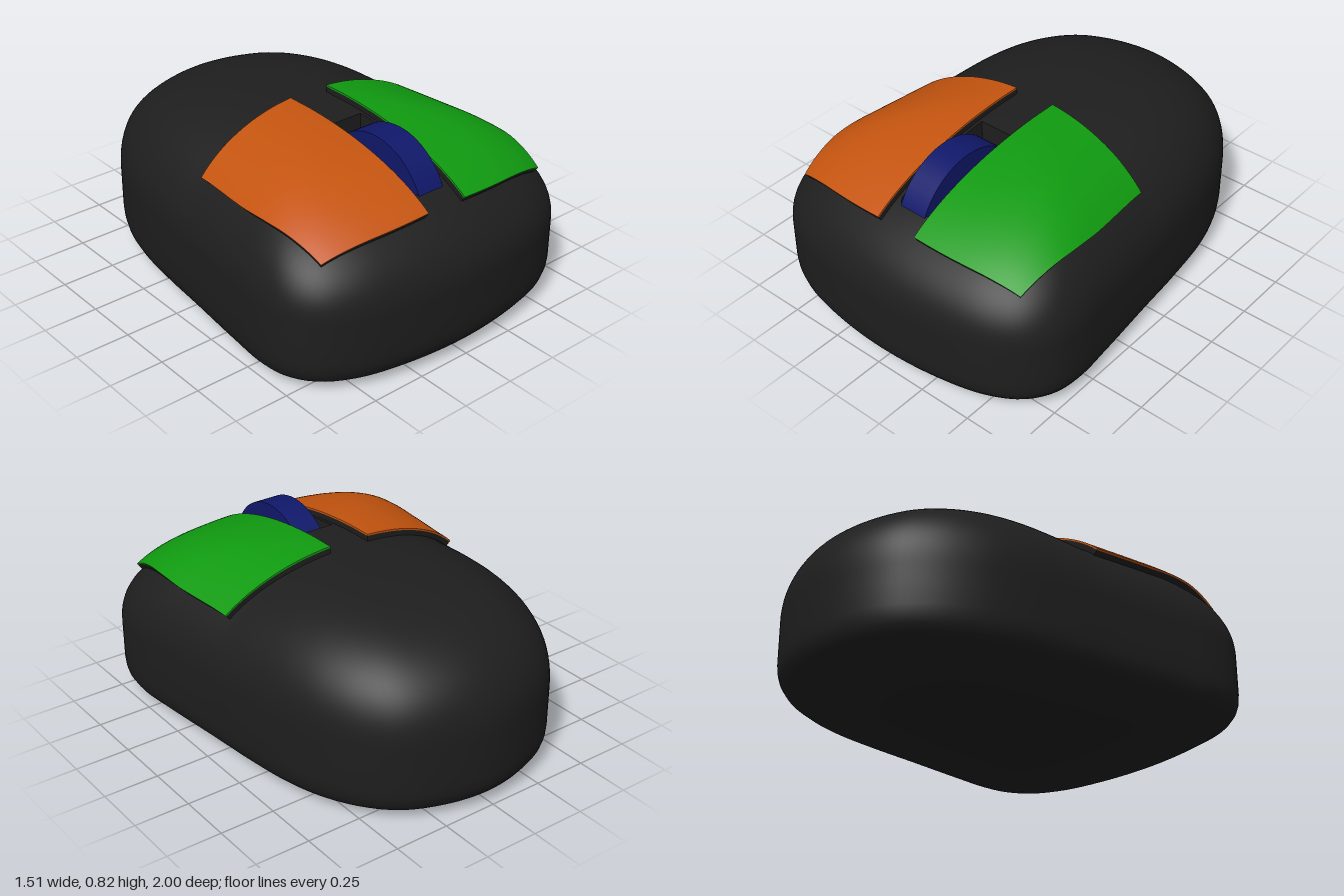
import * as THREE from 'three';
import { toCreasedNormals } from 'three/addons/utils/BufferGeometryUtils.js';

const SEG = 160;
const RIM_Y = 0.33, TOP_Y = 0.79;
const SLOT = { z: 0.485, halfX: 0.085, halfZ: 0.255, floor: 0.64 };

// Plan outline: one half from front to back, mirrored into a closed curve
const half = [[0, 1], [0.3, 0.975], [0.52, 0.92], [0.66, 0.835], [0.735, 0.72], [0.755, 0.58], [0.74, 0.38],
  [0.705, 0.05], [0.68, -0.2], [0.645, -0.43], [0.59, -0.61], [0.5, -0.77], [0.38, -0.89], [0.2, -0.97], [0, -1]];
const mirrored = half.slice(1, -1).reverse().map(([x, z]) => [-x, z]);
const outline = new THREE.CatmullRomCurve3(
  [...half, ...mirrored].map(([x, z]) => new THREE.Vector3(x, 0, z)), true).getSpacedPoints(SEG).slice(0, SEG);

// Distance from the middle to the outline in the direction (x, z)
const polar = outline.slice(0, SEG / 2 + 1).map((p) => [Math.atan2(Math.abs(p.x), p.z), Math.hypot(p.x, p.z)]);
function outlineRadius(x, z) {
  const a = Math.atan2(Math.abs(x), z);
  for (let i = 1; i < polar.length; i++) {
    const [a0, r0] = polar[i - 1], [a1, r1] = polar[i];
    if (a <= a1) return r0 + (r1 - r0) * (a - a0) / (a1 - a0);
  }
  return polar[polar.length - 1][1];
}

// Height of the domed top, fuller toward the back
function topHeight(x, z) {
  const d = Math.hypot(x, z);
  if (d < 1e-6) return TOP_Y;
  const s = Math.min(1, d / outlineRadius(x, z));
  const back = Math.max(0, -z / d);
  return RIM_Y + (TOP_Y - RIM_Y) * Math.pow(1 - Math.pow(s, 2.2 + 0.9 * back), 0.45 - 0.03 * back);
}

function loft(rings) {
  const pos = rings.flat().flatMap((p) => [p.x, p.y, p.z]);
  const index = [];
  for (let i = 0; i < rings.length - 1; i++) {
    for (let j = 0; j < SEG; j++) {
      const k = (j + 1) % SEG;
      const a = i * SEG + j, b = a + SEG, c = i * SEG + k, d = c + SEG;
      index.push(a, b, c, c, b, d);
    }
  }
  const geo = new THREE.BufferGeometry();
  geo.setAttribute('position', new THREE.Float32BufferAttribute(pos, 3));
  geo.setIndex(index);
  return toCreasedNormals(geo, 0.7);
}

// Shell: slot floor and walls, dome, side wall, rounded underside
function bodyGeometry() {
  const slotEdge = outline.map((p) => {
    const dx = p.x, dz = p.z - SLOT.z;
    const k = 1 / Math.max(Math.abs(dx) / SLOT.halfX, Math.abs(dz) / SLOT.halfZ);
    return new THREE.Vector3(dx * k, SLOT.floor, SLOT.z + dz * k);
  });
  const rings = [outline.map(() => new THREE.Vector3(0, SLOT.floor, SLOT.z)), slotEdge];
  const steps = 32;
  for (let i = 0; i <= steps; i++) {
    const f = i / steps, t = 1 - Math.pow(1 - f, 2.2);
    rings.push(outline.map((p, j) => {
      const q = slotEdge[j].clone().lerp(p, t);
      q.y = i === steps ? RIM_Y : topHeight(q.x, q.z);
      return q;
    }));
  }
  const lower = [[1, 0.24], [1, 0.15], [0.996, 0.11], [0.985, 0.075], [0.965, 0.047], [0.93, 0.026],
    [0.87, 0.013], [0.75, 0.005], [0.5, 0.001], [0, 0]];
  for (const [s, y] of lower) rings.push(outline.map((p) => new THREE.Vector3(p.x * s, y, p.z * s)));
  return loft(rings);
}

// Curved plate that follows the dome between two offsets along its normal
function plateGeometry(side, low, high) {
  const geo = new THREE.BoxGeometry(1, 1, 1, 24, 1, 32);
  const pos = geo.attributes.position;
  const e = 0.01;
  for (let i = 0; i < pos.count; i++) {
    const u = 0.5 + side * pos.getX(i), v = pos.getZ(i) + 0.5;
    const outer = 0.59 + 0.03 * Math.sin(Math.PI * Math.pow(v, 1.3));
    const x = 0.1 + (outer - 0.1) * u;
    const z0 = -0.015 + 0.045 * u * u, z1 = 0.83 - 0.06 * u * u;
    const z = z0 + (z1 - z0) * v;
    const n = new THREE.Vector3(
      (topHeight(x - e, z) - topHeight(x + e, z)) / (2 * e), 1,
      (topHeight(x, z - e) - topHeight(x, z + e)) / (2 * e)).normalize();
    n.x *= u; // keeps the inner edge straight
    const off = pos.getY(i) > 0 ? high : low;
    pos.setXYZ(i, side * (x + n.x * off), topHeight(x, z) + n.y * off, z + n.z * off);
  }
  geo.computeVertexNormals();
  return geo;
}

export function createModel() {
  const group = new THREE.Group();
  const add = (name, geo, color) => {
    const mesh = new THREE.Mesh(geo, new THREE.MeshStandardMaterial({ color }));
    mesh.name = name;
    group.add(mesh);
    return mesh;
  };

  add('body', bodyGeometry(), 0x1e1e1e);

  // Buttons: dark pad with a coloured cap
  for (const [name, side, color] of [['left', 1, 0x109a10], ['right', -1, 0xc4540f]]) {
    add(name + 'ButtonPad', plateGeometry(side, -0.03, 0.025), 0x1e1e1e);
    add(name + 'Button', plateGeometry(side, 0.025, 0.033), color);
  }

  // Scroll wheel, half sunk in its slot
  const wheel = add('scrollWheel', new THREE.CylinderGeometry(0.295, 0.295, 0.132, 64), 0x10186a);
  wheel.rotation.z = Math.PI / 2;
  wheel.position.set(0.003, 0.53, SLOT.z);

  return group;
}
